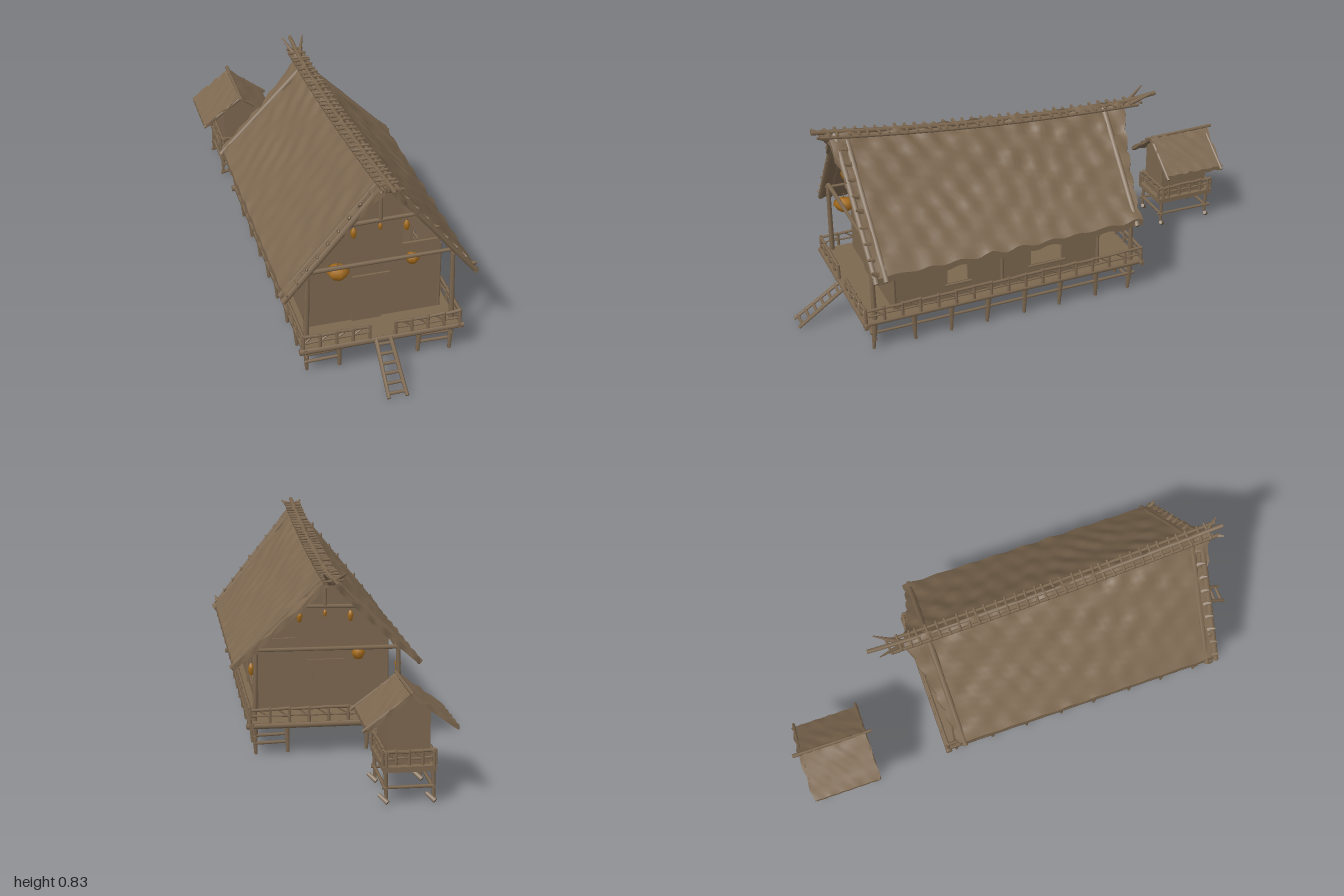
import * as THREE from 'three';

const brown = new THREE.MeshStandardMaterial({ color: 0x7d6850, side: THREE.DoubleSide });
brown.name = 'weathered brown';
const amber = new THREE.MeshStandardMaterial({ color: 0xa56c1c, side: THREE.DoubleSide });
amber.name = 'lantern amber';

// small seeded random for crooked timber
let seed = 7;
const rnd = () => { seed = (seed * 16807) % 2147483647; return seed / 2147483647 - 0.5; };

const V = (x, y, z) => new THREE.Vector3(x, y, z);

function add(parent, geo, name, mat = brown) {
  const m = new THREE.Mesh(geo, mat);
  m.name = name;
  parent.add(m);
  return m;
}

function box(parent, name, x0, x1, y0, y1, z0, z1) {
  const m = add(parent, new THREE.BoxGeometry(x1 - x0, y1 - y0, z1 - z0), name);
  m.position.set((x0 + x1) / 2, (y0 + y1) / 2, (z0 + z1) / 2);
  return m;
}

// rough pole between two points
function pole(parent, name, a, b, r = 0.008, tip = 0.8) {
  const d = b.clone().sub(a);
  const m = add(parent, new THREE.CylinderGeometry(r * tip, r, d.length(), 6), name);
  m.position.copy(a).add(b).multiplyScalar(0.5);
  m.quaternion.setFromUnitVectors(V(0, 1, 0), d.normalize());
  return m;
}

// flat panel in the xy plane, optional rectangular holes [x0, x1, y0, y1]
function panel(parent, name, points, depth, holes = []) {
  const s = new THREE.Shape(points.map(p => new THREE.Vector2(...p)));
  for (const [a, b, c, d] of holes)
    s.holes.push(new THREE.Path([[a, c], [a, d], [b, d], [b, c]].map(p => new THREE.Vector2(...p))));
  return add(parent, new THREE.ExtrudeGeometry(s, { depth, bevelEnabled: false }), name);
}

// thatch slab: a box grid bent onto at(u, v), then made lumpy and ragged
function thatch(parent, name, nu, nv, thick, lump, at) {
  const g = new THREE.BoxGeometry(1, 1, 1, nu, 1, nv), p = g.attributes.position;
  for (let i = 0; i < p.count; i++) {
    const u = p.getX(i) + 0.5, v = p.getZ(i) + 0.5, top = p.getY(i) > 0;
    const q = at(u, v);
    const n = Math.sin(u * 17 + 5 * Math.sin(v * 9)) * Math.sin(v * 31 + 4 * u)
      + 0.6 * Math.sin(u * 29 - v * 47) + 0.4 * Math.sin(v * 83 + u * 11);
    q.y += (top ? lump * n * (1.25 - 0.8 * u) : -thick);
    q.z += lump * 0.8 * Math.sin(u * 37 + (v > 0.5 ? 2 : 0)) * Math.abs(2 * v - 1);
    if (u > 0.97) q.y += lump * 0.8 * Math.sin(v * 57);
    p.setXYZ(i, q.x, q.y, q.z);
  }
  g.computeVertexNormals();
  return add(parent, g, name);
}

// railing of two rails, uprights and crooked struts
function railing(parent, a, b, y, h, n) {
  const at = (t, k) => a.clone().lerp(b, t).setY(y + h * k + rnd() * 0.006);
  for (let i = 0; i < n; i++) {
    const t0 = i / n, t1 = (i + 1) / n;
    pole(parent, 'topRail', at(t0, 1), at(t1, 1), 0.007);
    pole(parent, 'midRail', at(t0, 0.5), at(t1, 0.5), 0.005);
    pole(parent, 'railStrut', at(t0, 0.45), at(t0 + 0.6 / n, 1), 0.004);
  }
  for (let i = 0; i <= n; i++) pole(parent, 'railPost', at(i / n, 0), at(i / n, 1.1), 0.007);
}

function lantern(parent, x, y, z, r, h) {
  const pts = [[0.02, 0], [0.6, 0.08], [1, 0.6], [0.6, 0.85], [0.15, 1]].map(([a, b]) => new THREE.Vector2(a * r, b * h));
  const m = add(parent, new THREE.LatheGeometry(pts, 7), 'lantern', amber);
  m.position.set(x, y, z);
  pole(parent, 'lanternCord', V(x, y + h, z), V(x, y + h + 0.02, z), 0.002);
}

const ridgeY = z => { const t = (z + 0.45) / 1.3; return 0.715 + 0.03 * t + 0.08 * t * t; };
const roofY = (x, z) => ridgeY(z) - (ridgeY(z) - 0.365) * Math.abs(x) / 0.365;

function buildHouse() {
  const g = new THREE.Group();
  g.name = 'longhouse';

  // deck and edge logs
  box(g, 'deck', -0.3, 0.3, 0.125, 0.143, -0.39, 0.79);
  for (const z of [-0.39, 0.79]) pole(g, 'deckEdge', V(-0.32, 0.132, z), V(0.32, 0.132, z), 0.013);
  for (const x of [-0.3, 0.3]) pole(g, 'deckEdge', V(x, 0.134, -0.4), V(x, 0.134, 0.8), 0.012);

  // stilts, braces and joists
  for (let i = 0; i < 8; i++) {
    const z = 0.75 - i * 0.157;
    pole(g, 'joist', V(-0.29, 0.115, z), V(0.29, 0.115, z), 0.01);
    for (const s of [-1, 1]) {
      pole(g, 'stilt', V(s * 0.285, 0.13, z), V(s * 0.28, 0.005, z + rnd() * 0.02), 0.013, 0.5);
      if (i % 7 === 0) {
        pole(g, 'innerStilt', V(s * 0.16, 0.13, z), V(s * 0.155, 0.01, z), 0.012, 0.6);
        for (const y of [0.05, 0.082]) pole(g, 'stiltBrace', V(s * 0.29, y, z), V(s * 0.15, y + 0.003, z), 0.007);
      }
    }
  }
  for (const x of [-0.285, 0.285]) pole(g, 'longBrace', V(x, 0.078, -0.37), V(x, 0.08, 0.77), 0.007);

  // railings, open at the stair
  for (const x of [-0.305, 0.305]) railing(g, V(x, 0, -0.39), V(x, 0, 0.79), 0.143, 0.055, 16);
  railing(g, V(-0.305, 0, -0.39), V(0.305, 0, -0.39), 0.143, 0.055, 8);
  for (const s of [-1, 1]) railing(g, V(s * 0.305, 0, 0.79), V(s * 0.05, 0, 0.79), 0.143, 0.055, 4);

  // ladder stair
  for (const x of [-0.035, 0.035]) pole(g, 'ladderSide', V(x * 0.8, 0.138, 0.8), V(x, 0.012, 0.99), 0.009);
  for (let i = 0; i < 6; i++) {
    const t = (i + 0.5) / 6;
    pole(g, 'ladderRung', V(-0.036, 0.138 - 0.126 * t, 0.8 + 0.19 * t), V(0.036, 0.138 - 0.126 * t, 0.8 + 0.19 * t), 0.007);
  }

  // side walls with windows
  for (const s of [-1, 1]) {
    const w = panel(g, 'sideWall', [[-0.66, 0.14], [0.21, 0.14], [0.21, 0.43], [-0.66, 0.47]], 0.012,
      [[-0.44, -0.355, 0.21, 0.325], [-0.085, 0.05, 0.21, 0.325]]);
    w.rotation.y = Math.PI / 2;
    w.position.x = s * 0.255 - 0.006;
    for (const [z0, z1] of [[0.355, 0.44], [-0.05, 0.085]]) {
      for (const y of [0.205, 0.33]) pole(g, 'windowFrame', V(s * 0.265, y, z0 - 0.012), V(s * 0.265, y, z1 + 0.012), 0.006);
    }
    for (const z of [0.66, 0.21, -0.21]) pole(g, 'wallPost', V(s * 0.262, 0.14, z), V(s * 0.26, 0.43, z), 0.008);
  }

  // end walls, left open high on one side
  for (const [z, d] of [[0.66, 1], [-0.21, -1]]) {
    const h = x => roofY(x, z) - 0.035;
    const wallTop = Math.min(0.455, h(0.26));
    const tie = d > 0 ? 0.62 : h(0.12);
    panel(g, 'endWall', [[-0.26, 0.14], [0.26, 0.14], [0.26, wallTop], [0.11, wallTop], [0.11, Math.min(tie, h(0.11))],
      [0, h(0)], [-0.13, h(0.13)], [-0.26, wallTop]], 0.01).position.z = z - 0.005;
    panel(g, 'door', [[-0.085, 0.143], [0.03, 0.143], [0.04, 0.29], [0.062, 0.345], [-0.085, 0.345]], 0.008)
      .position.z = z + (d > 0 ? 0.006 : -0.014);
    // gable timbers
    const zb = z + d * 0.07;
    pole(g, 'tieBeam', V(-0.13, tie, zb), V(0.13, tie + 0.005, zb), 0.009);
    pole(g, 'kingPost', V(0, tie, zb), V(0, ridgeY(zb) - 0.02, zb), 0.009);
    for (const s of [-1, 1]) lantern(g, s * 0.1, tie - 0.06, zb, 0.012, 0.045);
    lantern(g, 0, tie - 0.04, zb, 0.008, 0.03);
  }

  // porch posts and plates
  for (const [z, y] of [[0.75, 0.455], [-0.35, 0.42]]) {
    for (const s of [-1, 1]) pole(g, 'porchPost', V(s * 0.285, 0.13, z), V(s * 0.277, y, z), 0.011);
    pole(g, 'porchBeam', V(-0.3, y, z), V(0.27, y + 0.003, z), 0.009);
  }
  for (const x of [-0.277, 0.277]) pole(g, 'eavePlate', V(x, 0.415, -0.36), V(x, 0.44, 0.76), 0.008);

  // thatched roof slopes and verge poles
  for (const s of [-1, 1]) {
    thatch(g, 'roofSlope', 18, 52, 0.026, 0.008, (u, v) => {
      const back = -0.355 - 0.09 * (1 - u) ** 1.5, front = 0.765 + 0.055 * (1 - u) ** 3;
      const k = s > 0 ? v : 1 - v;
      const z = back + (front - back) * k, x = s * 0.365 * u;
      return V(x, roofY(x, z) - 0.012 * Math.sin(Math.PI * u) * (1 - k) + 0.005, z);
    }).scale.x = 1;
    for (const z of [0.78, 0.74, -0.35])
      pole(g, 'vergePole', V(0, ridgeY(z) - 0.005, z), V(s * 0.372, 0.35, z - Math.sign(z) * 0.02), 0.013, 0.9);
    for (let i = 0; i < 9; i++) {
      const x = s * (0.04 + i * 0.039);
      pole(g, 'strawTuft', V(x, roofY(x, 0.75) - 0.005, 0.75), V(x + s * 0.012, roofY(x, 0.75) + 0.012 + rnd() * 0.02, 0.775), 0.014, 0.2);
    }
  }

  // ridge pole with its ladder of binding sticks and horned ends
  const N = 34;
  const rz = i => -0.5 + 1.35 * i / N;
  for (let i = 0; i < N; i++) {
    for (const x of [-0.027, 0.027])
      pole(g, 'ridgeRail', V(x, ridgeY(rz(i)) - 0.008, rz(i)), V(x, ridgeY(rz(i + 1)) - 0.008, rz(i + 1)), 0.007, 1);
    pole(g, 'ridgeStick', V(-0.036, ridgeY(rz(i)) + 0.002 + rnd() * 0.008, rz(i)), V(0.036, ridgeY(rz(i)) + 0.002, rz(i) + rnd() * 0.02), 0.006);
  }
  const pts = [-0.59, -0.4, 0, 0.4, 0.87].map(z => V(0, z < -0.5 ? 0.732 : ridgeY(z) + (z > 0.8 ? 0.002 : 0), z));
  add(g, new THREE.TubeGeometry(new THREE.CatmullRomCurve3(pts), 24, 0.009, 6), 'ridgePole');
  for (const s of [-1, 1]) {
    pole(g, 'backHorn', V(s * 0.005, 0.70, -0.45), V(s * 0.045, 0.755, -0.55), 0.012, 0.2);
    pole(g, 'frontHorn', V(s * 0.005, 0.79, 0.8), V(s * 0.042, 0.825, 0.86), 0.012, 0.3);
  }

  // hanging lanterns
  lantern(g, -0.155, 0.39, 0.72, 0.046, 0.055);
  lantern(g, 0.13, 0.405, 0.72, 0.028, 0.045);
  lantern(g, -0.13, 0.36, -0.29, 0.028, 0.045);
  for (const s of [-1, 1]) lantern(g, s * 0.29, 0.305, -0.28, 0.013, 0.05);
  return g;
}

function buildHut() {
  const g = new THREE.Group();
  g.name = 'smallHut';
  const cx = -0.205, x0 = -0.3, x1 = -0.11, z0 = -0.965, z1 = -0.7;

  // floor, stilts and braces
  box(g, 'hutDeck', x0, x1, 0.125, 0.145, z0, z1);
  for (const x of [x0 + 0.01, x1 - 0.01]) {
    for (const z of [z0 + 0.02, z1 - 0.02]) {
      pole(g, 'hutStilt', V(x, 0.14, z), V(x - 0.005, 0.015, z), 0.009, 0.7);
      pole(g, 'hutFoot', V(x - 0.008, 0.012, z - 0.012), V(x + 0.02, 0.035, z + 0.012), 0.01);
    }
    pole(g, 'hutBrace', V(x, 0.065, z0), V(x, 0.068, z1), 0.007);
    railing(g, V(x, 0, z0), V(x, 0, z1), 0.145, 0.05, 5);
  }
  for (const z of [z0 + 0.02, z1 - 0.02]) {
    pole(g, 'hutBrace', V(x0, 0.065, z), V(x1, 0.065, z), 0.007);
    railing(g, V(x0, 0, z), V(x1, 0, z), 0.145, 0.05, 4);
  }

  // walls, closed to the gable
  panel(g, 'hutWalls', [[x0 + 0.02, 0.14], [x1 - 0.02, 0.14], [x1 - 0.02, 0.335], [cx, 0.4], [x0 + 0.02, 0.335]], 0.22).position.z = -0.94;

  // thatch and ridge pole
  for (const s of [-1, 1]) {
    thatch(g, 'hutRoof', 8, 14, 0.018, 0.005, (u, v) => {
      const x = cx + s * u * (s < 0 ? 0.17 : 0.155);
      return V(x, 0.415 - 0.125 * u, -0.835 + 0.14 * (s > 0 ? 2 * v - 1 : 1 - 2 * v));
    });
    pole(g, 'hutVerge', V(cx, 0.405, -0.7), V(cx + s * 0.17, 0.28, -0.7), 0.008);
    pole(g, 'hutVerge', V(cx, 0.405, -0.965), V(cx + s * 0.17, 0.28, -0.965), 0.008);
  }
  pole(g, 'hutRidge', V(cx, 0.415, -0.998), V(cx, 0.41, -0.67), 0.008);
  return g;
}

export function createModel() {
  const model = new THREE.Group();
  model.name = 'stiltHouse';
  seed = 7;
  model.add(buildHouse(), buildHut());

  // thatch slabs on the mirrored side need outward winding
  model.traverse(o => {
    if (!o.isMesh || (o.name !== 'roofSlope' && o.name !== 'hutRoof')) return;
    o.geometry.computeVertexNormals();
  });
  return model;
}
